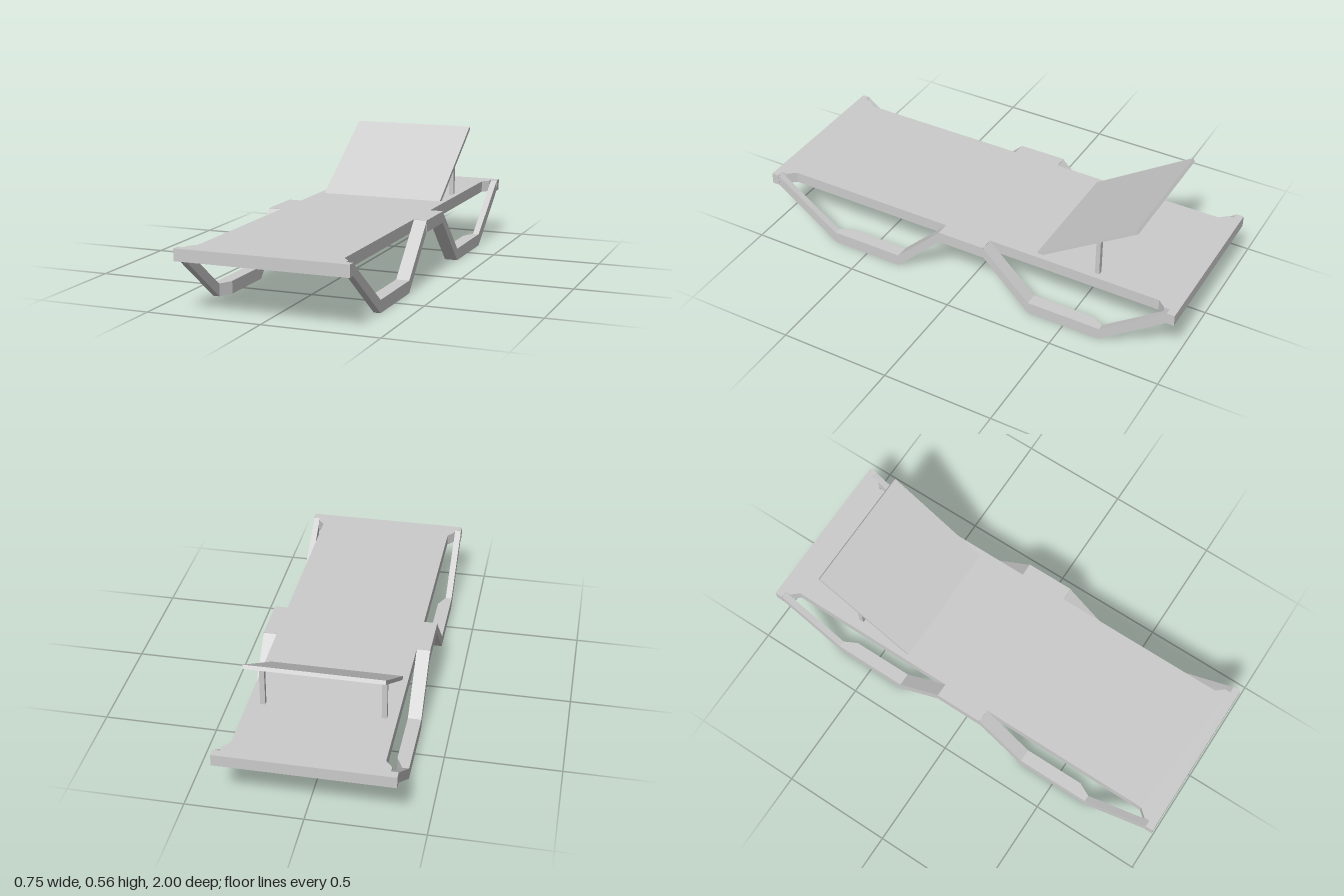
import * as THREE from 'three';

const material = new THREE.MeshStandardMaterial({ color: 0xcccccc, flatShading: true });

function addMesh(parent, name, geometry) {
  const mesh = new THREE.Mesh(geometry, material);
  mesh.name = name;
  parent.add(mesh);
  return mesh;
}

// Deck outline: one quarter mirrored into four, with notches above the legs
function deckShape() {
  const q = [[0.375, 1], [0.375, 0.965], [0.345, 0.965], [0.345, 0.94],
    [0.315, 0.905], [0.315, 0.11], [0.375, 0.11]];
  const r = [...q].reverse();
  const points = [
    ...q,
    ...r.map(([x, z]) => [x, -z]),
    ...q.map(([x, z]) => [-x, -z]),
    ...r.map(([x, z]) => [-x, z]),
  ];
  return new THREE.Shape(points.map(([x, z]) => new THREE.Vector2(x, z)));
}

// Horizontal slab between two heights; shape y becomes -z
function slab(shape, y0, y1) {
  const geometry = new THREE.ExtrudeGeometry(shape, { depth: y1 - y0, bevelEnabled: false });
  return geometry.rotateX(-Math.PI / 2).translate(0, y0, 0);
}

// Leg stations: z, bottom, top, inner x
const OUTER_X = 0.374;
const STATIONS = [
  [0.11, 0.22, 0.27, 0.315],
  [0.33, 0, 0.055, 0.315],
  [0.61, 0, 0.055, 0.315],
  [0.67, 0, 0.055, 0.345],
  [0.965, 0.22, 0.27, 0.345],
];

// A segmented box bent through the stations, placed in the chosen quarter
function legGeometry(sx, sz) {
  const last = STATIONS.length - 1;
  const geometry = new THREE.BoxGeometry(1, 1, 1, 1, 1, last);
  const p = geometry.attributes.position;
  for (let i = 0; i < p.count; i++) {
    const k = Math.round((p.getZ(i) + 0.5) * last);
    const [z, bottom, top, inner] = STATIONS[sz > 0 ? k : last - k];
    const isOuter = p.getX(i) * sx > 0;
    p.setXYZ(i, sx * (isOuter ? OUTER_X : inner), p.getY(i) > 0 ? top : bottom, sz * z);
  }
  const flat = geometry.toNonIndexed();
  flat.computeVertexNormals();
  return flat;
}

export function createModel() {
  const group = new THREE.Group();
  group.name = 'sunLounger';

  // Deck: solid base, and a top layer cut out under the backrest
  const floorY = 0.254;
  addMesh(group, 'deckBase', slab(deckShape(), 0.22, floorY));
  const top = deckShape();
  top.holes.push(new THREE.Path([[-0.29, 0.33], [-0.29, 0.885], [0.29, 0.885], [0.29, 0.33]]
    .map(([x, y]) => new THREE.Vector2(x, y))));
  addMesh(group, 'deckTop', slab(top, floorY, 0.272));

  // Four bent legs
  for (const sx of [1, -1]) {
    for (const sz of [1, -1]) {
      const name = (sz > 0 ? 'front' : 'back') + (sx > 0 ? 'Left' : 'Right') + 'Leg';
      addMesh(group, name, legGeometry(sx, sz));
    }
  }

  // Tilted backrest and its two props
  const backrest = addMesh(group, 'backrest', new THREE.BoxGeometry(0.576, 0.017, 0.541));
  backrest.position.set(0, 0.408, -0.55);
  backrest.rotation.x = 0.576;
  for (const sx of [1, -1]) {
    const prop = addMesh(group, sx > 0 ? 'leftProp' : 'rightProp',
      new THREE.BoxGeometry(0.022, 0.436 - floorY, 0.02));
    prop.position.set(sx * 0.257, (0.436 + floorY) / 2, -0.6);
  }
  return group;
}
